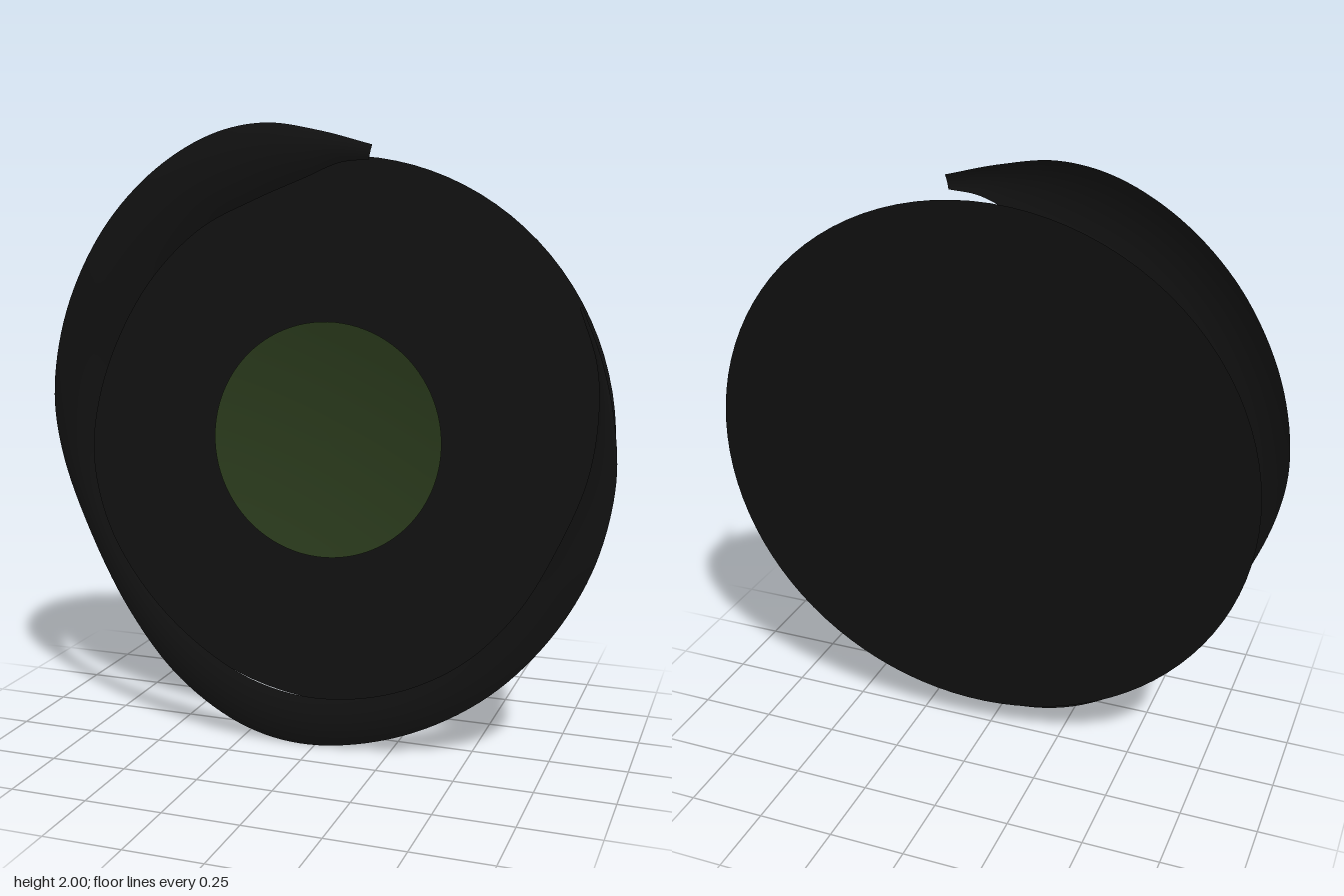
import * as THREE from 'three';

const black = new THREE.MeshStandardMaterial({ color: 0x111111, side: THREE.DoubleSide });
const green = new THREE.MeshStandardMaterial({ color: 0x2a3a1c, side: THREE.DoubleSide });

// All parts lean slightly: push z by a tilt in x and y
function tilt(geometry, z0, bx, cy) {
  const p = geometry.attributes.position;
  for (let i = 0; i < p.count; i++) {
    p.setZ(i, p.getZ(i) + z0 + bx * p.getX(i) + cy * (p.getY(i) - 1));
  }
  geometry.computeVertexNormals();
  return geometry;
}

// Round plate facing +z, hollowed in the middle by depth
function dish(radius, depth, rings) {
  const profile = [];
  for (let i = 0; i <= rings; i++) {
    const t = 1 - i / rings;
    profile.push(new THREE.Vector2(radius * t, -depth * (1 - t * t)));
  }
  return new THREE.LatheGeometry(profile, 96).rotateX(Math.PI / 2).translate(0.01, 1, 0);
}

// Crescent ribbon between an outer and an inner curve, slightly crowned
function ribbon(sections, crown, along, across) {
  const curve = (k) => new THREE.CatmullRomCurve3(
    sections.map((s) => new THREE.Vector3(s[k], s[k + 1], 0)));
  const outer = curve(0), inner = curve(2);
  const positions = [], index = [];
  for (let i = 0; i <= along; i++) {
    const a = outer.getPoint(i / along), b = inner.getPoint(i / along);
    const width = a.distanceTo(b);
    for (let j = 0; j <= across; j++) {
      const v = j / across;
      const p = a.clone().lerp(b, v);
      positions.push(p.x, p.y, crown * width * 4 * v * (1 - v));
      if (i < along && j < across) {
        const n = i * (across + 1) + j, m = n + across + 1;
        index.push(n, n + 1, m, n + 1, m + 1, m);
      }
    }
  }
  const geometry = new THREE.BufferGeometry();
  geometry.setAttribute('position', new THREE.Float32BufferAttribute(positions, 3));
  geometry.setIndex(index);
  return geometry;
}

export function createModel() {
  const group = new THREE.Group();
  const add = (name, geometry, material) => {
    const mesh = new THREE.Mesh(geometry, material);
    mesh.name = name;
    group.add(mesh);
  };

  // Large flat disc at the back
  add('backDisc', tilt(dish(0.9, 0, 1), -0.08, -0.036, -0.057), black);

  // Shallow green dish in the middle
  add('centreDish', tilt(dish(0.38, 0.035, 12), 0.04, -0.033, -0.057), green);

  // Sections from the thin tip, down the right side and round to the blunt end:
  // outer x, y, inner x, y
  const sections = [
    [0.815, 1.45, 0.807, 1.447],
    [0.88, 1.29, 0.864, 1.28],
    [0.925, 1.1, 0.875, 1.12],
    [0.935, 0.91, 0.85, 0.93],
    [0.88, 0.66, 0.77, 0.72],
    [0.75, 0.42, 0.65, 0.5],
    [0.55, 0.21, 0.48, 0.32],
    [0.28, 0.06, 0.25, 0.2],
    [-0.02, 0, 0, 0.16],
    [-0.25, 0.04, -0.21, 0.195],
    [-0.48, 0.18, -0.41, 0.3],
    [-0.66, 0.39, -0.59, 0.46],
    [-0.81, 0.66, -0.73, 0.67],
    [-0.91, 0.92, -0.79, 0.9],
    [-0.938, 1.13, -0.77, 1.11],
    [-0.89, 1.4, -0.69, 1.33],
    [-0.76, 1.66, -0.57, 1.52],
    [-0.58, 1.85, -0.41, 1.67],
    [-0.38, 1.965, -0.23, 1.76],
    [-0.2, 2, -0.06, 1.83],
    [-0.02, 1.975, 0.05, 1.875],
    [0.155, 1.93, 0.145, 1.885],
  ];
  add('crescentRim', tilt(ribbon(sections, 0.08, 160, 10), 0.07, -0.032, -0.051), black);

  return group;
}
